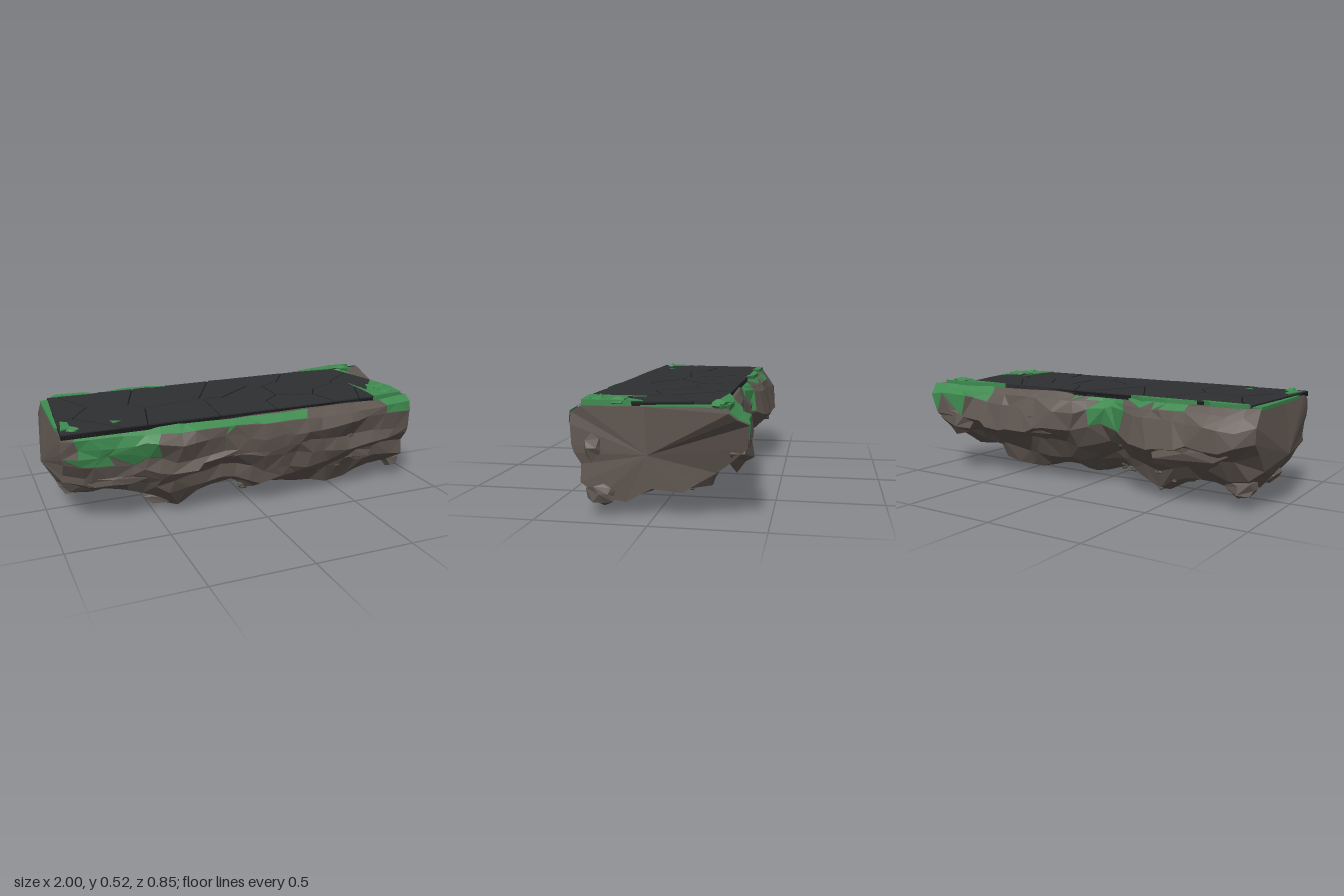
import * as THREE from 'three';

const TOP = 0.478;
const material = (color) => new THREE.MeshStandardMaterial({ color, flatShading: true, roughness: 1, side: THREE.DoubleSide });

// Small seeded random, -1..1
function seeded(seed) {
  let s = seed;
  return () => {
    s = (s * 1664525 + 1013904223) % 4294967296;
    return (s / 4294967296) * 2 - 1;
  };
}

// Stations along the rock: x, back z, front z, lowest y
const STATIONS = [
  [-0.95, -0.34, 0.33, 0.13], [-0.9, -0.39, 0.34, 0.075], [-0.8, -0.4, 0.345, 0.05], [-0.65, -0.41, 0.35, 0.09],
  [-0.52, -0.405, 0.37, 0.07], [-0.42, -0.395, 0.385, 0], [-0.32, -0.37, 0.39, 0.04], [-0.2, -0.29, 0.4, 0.1],
  [-0.08, -0.285, 0.41, 0.1], [0.03, -0.335, 0.42, 0.015], [0.12, -0.35, 0.425, 0.05], [0.28, -0.365, 0.42, 0.03],
  [0.45, -0.37, 0.41, 0.01], [0.6, -0.38, 0.395, 0.03], [0.75, -0.42, 0.38, 0.07], [0.88, -0.42, 0.365, 0.05],
];
// Cross-section, front lip -> underside -> back lip -> top: share of half depth, share of height
const SECTION = [
  [0.86, -0.01], [0.97, 0.06], [1, 0.19], [0.95, 0.36], [0.96, 0.47], [0.88, 0.62], [0.83, 0.76], [0.66, 0.92], [0.35, 1],
  [0, 0.96], [-0.28, 0.97], [-0.5, 0.9], [-0.62, 0.76], [-0.8, 0.58], [-1, 0.43], [-0.95, 0.18], [-0.88, 0.07], [-0.8, -0.01],
  [0.12, 0],
];

function stationAt(x) {
  let i = 0;
  while (i < STATIONS.length - 2 && STATIONS[i + 1][0] < x) i++;
  const a = STATIONS[i], b = STATIONS[i + 1];
  const t = (x - a[0]) / (b[0] - a[0]);
  return a.map((v, k) => v + (b[k] - v) * t);
}

// Rings of points with long ripples and a little jitter, shared by rock and moss
function rockRings() {
  const rnd = seeded(17), rings = [], count = 24;
  for (let i = 0; i <= count; i++) {
    const x = -0.95 + (1.83 * i) / count;
    const [, back, front, low] = stationAt(x);
    const slide = i > 0 && i < count ? 0.03 : 0.006;
    const end = THREE.MathUtils.smoothstep(x, 0.68, 0.88);
    const rightLift = 0.16 * THREE.MathUtils.smoothstep(x, 0.5, 0.7);
    const leftLift = 0.17 * (1 - THREE.MathUtils.smoothstep(x, -0.8, -0.5));
    rings.push(SECTION.map(([u, v], j) => {
      const rough = v < 0.1 ? 0.25 : 1;
      const lift = 1 - (u < 0.1 ? rightLift : 0) - (u > -0.1 ? leftLift : 0);
      const z = u * (u > 0 ? front : -back) + (Math.sin(x * 7 + j * 2.4) * 0.01 + rnd() * 0.008) * rough;
      const y = TOP - (TOP - low) * v * lift + (Math.sin(x * 6 + j * 1.9) * 0.014 + rnd() * 0.009) * rough;
      const flare = Math.max(0, 1 - Math.abs(z + 0.31) / 0.33) * Math.max(0, (y - 0.2) / 0.28) * 0.15
        + Math.max(0, z) * 0.09 - 0.015;
      return new THREE.Vector3(
        Math.min(0.995, x + rnd() * slide + end * flare), Math.max(0, y), THREE.MathUtils.clamp(z, -0.43, 0.43));
    }));
  }
  return rings;
}

// Triangles between rings, for section points from..to
function bandTriangles(rings, from, to) {
  const tris = [];
  for (let j = from; j < to; j++) {
    const k = (j + 1) % SECTION.length;
    for (let i = 0; i < rings.length - 1; i++) {
      const a = rings[i][j], b = rings[i + 1][j], c = rings[i + 1][k], d = rings[i][k];
      if ((i + j) % 3) tris.push([a, d, b], [b, d, c]);
      else tris.push([a, d, c], [a, c, b]);
    }
  }
  return tris;
}

// Fans closing the two ends
function endTriangles(rings) {
  const left = new THREE.Vector3(-1, 0.25, -0.04), right = new THREE.Vector3(0.865, 0.27, 0.03);
  const first = rings[0], last = rings[rings.length - 1];
  return SECTION.flatMap((_, j) => {
    const k = (j + 1) % SECTION.length;
    return [[left, first[k], first[j]], [right, last[j], last[k]]];
  });
}

function meshFrom(name, tris, mat) {
  const geometry = new THREE.BufferGeometry().setFromPoints(tris.flat());
  geometry.computeVertexNormals();
  const mesh = new THREE.Mesh(geometry, mat);
  mesh.name = name;
  return mesh;
}

// Where moss hangs over the rim
function isMossy({ x, y, z }) {
  if (z > 0.2) {
    if (x < -0.5) return x > -0.9 && y > 0.33;
    if (x < 0.25) return y > 0.44;
    return x > 0.72 && y > 0.39;
  }
  if (z > -0.2) return false;
  if (x > 0.55) return y > 0.39;
  if (x > -0.28 && x < -0.05) return y > 0.33;
  return x > -0.6 && x < 0.05 && y > 0.46;
}

// Flat plate from [x, z] corners, between two heights
function plate(corners, low, high, mat, name) {
  const shape = new THREE.Shape(corners.map(([x, z]) => new THREE.Vector2(x, -z)));
  const geometry = new THREE.ExtrudeGeometry(shape, { depth: high - low, bevelEnabled: false });
  geometry.rotateX(-Math.PI / 2).translate(0, low, 0);
  const mesh = new THREE.Mesh(geometry, mat);
  mesh.name = name;
  return mesh;
}

// Keep the side of a polygon nearer to p than to q, less half a crack
function clipToward(poly, p, q, gap) {
  const dx = q[0] - p[0], dz = q[1] - p[1], len = Math.hypot(dx, dz);
  const dist = (c) => ((c[0] - p[0]) * dx + (c[1] - p[1]) * dz) / len - len / 2 + gap;
  const out = [];
  poly.forEach((a, i) => {
    const b = poly[(i + 1) % poly.length], da = dist(a), db = dist(b);
    if (da <= 0) out.push(a);
    if (da * db < 0) {
      const t = da / (da - db);
      out.push([a[0] + (b[0] - a[0]) * t, a[1] + (b[1] - a[1]) * t]);
    }
  });
  return out;
}

// Irregular low-poly stone
function stone(name, x, y, z, sx, sy, sz, seed, mat) {
  const geometry = new THREE.DodecahedronGeometry(1, 0);
  const p = geometry.attributes.position, v = new THREE.Vector3();
  for (let i = 0; i < p.count; i++) {
    v.fromBufferAttribute(p, i);
    const k = 1 + 0.2 * Math.sin(seed * 3.1 + v.x * 5 + v.y * 7.3 + v.z * 9.1);
    p.setXYZ(i, v.x * k * sx, v.y * k * sy, v.z * k * sz);
  }
  geometry.computeVertexNormals();
  const mesh = new THREE.Mesh(geometry, mat);
  mesh.position.set(x, y, z);
  mesh.rotation.y = Math.sin(seed) * 0.15;
  mesh.name = name;
  return mesh;
}

export function createModel() {
  const model = new THREE.Group();
  model.name = 'floatingPlatform';
  const rock = material(0x5f5650), moss = material(0x3f8a50), slab = material(0x2d2f31), crack = material(0x18191a);

  // Rock body
  const rings = rockRings(), n = SECTION.length;
  const sides = bandTriangles(rings, 0, n - 2);
  model.add(meshFrom('rockBody', [...sides, ...bandTriangles(rings, n - 2, n), ...endTriangles(rings)], rock));

  // Moss draped just outside the rock
  const mossTris = sides
    .filter((t) => isMossy(t[0].clone().add(t[1]).add(t[2]).divideScalar(3)))
    .map((t) => t.map((p) => new THREE.Vector3(p.x, p.y + 0.005, p.z * 1.012)));
  model.add(meshFrom('mossDrape', mossTris, moss));

  // Cracked paving on a dark bed
  const outline = [[-0.91, -0.28], [0.77, -0.28], [0.85, 0.05], [0.85, 0.16], [0.68, 0.335], [-0.95, 0.335]];
  model.add(plate(outline, 0.474, 0.495, crack, 'pavingBed'));
  const seeds = [
    [-0.93, -0.04], [-0.64, -0.17], [-0.68, 0.12], [-0.88, 0.29], [-0.38, -0.08], [-0.33, 0.2], [-0.17, -0.2],
    [-0.02, 0.22], [0, -0.11], [0.11, 0.04], [0.22, -0.22], [0.33, 0.04], [0.27, 0.24], [0.47, -0.05],
    [0.56, 0.17], [0.62, -0.17], [0.77, 0.02], [0.74, 0.25],
  ];
  const paving = new THREE.Group();
  paving.name = 'paving';
  seeds.forEach((p, i) => {
    const cell = seeds.reduce((poly, q) => (q === p ? poly : clipToward(poly, p, q, 0.0035)), outline);
    paving.add(plate(cell, 0.474, 0.5 + (i % 3) * 0.001, slab, 'pavingStone'));
  });
  model.add(paving);

  // Moss creeping over the paving's edges: top height, corners
  const patches = [
    [0.486, [[0.75, -0.3], [0.85, -0.3], [0.85, -0.1], [0.86, 0.06], [0.84, 0.06], [0.79, -0.13]]],
    [0.505, [[0.69, 0.07], [0.71, 0.22], [0.84, 0.05], [0.87, 0.2], [0.86, 0.32], [0.68, 0.34], [0.69, 0.25]]],
    [0.492, [[-0.95, -0.27], [-0.9, -0.28], [-0.93, 0], [-0.935, 0.2], [-0.955, 0.2]]],
    [0.505, [[-0.92, 0.15], [-0.89, 0.17], [-0.89, 0.26], [-0.94, 0.28]]],
    [0.503, [[-0.7, 0.22], [-0.65, 0.24], [-0.69, 0.26]]],
    [0.503, [[0.52, -0.28], [0.63, -0.31], [0.8, -0.335], [0.92, -0.33], [0.85, -0.31], [0.9, -0.29], [0.78, -0.26]]],
    [0.5, [[-0.64, -0.28], [-0.5, -0.32], [-0.36, -0.31], [-0.26, -0.27]]],
    [0.503, [[-0.9, -0.28], [-0.86, -0.32], [-0.72, -0.31], [-0.66, -0.27]]],
  ];
  patches.forEach(([high, corners]) => model.add(plate(corners, 0.476, high, moss, 'mossPatch')));
  [[0.8, 0.17, 0.07], [0.79, 0.26, 0.06], [0.82, -0.28, 0.07], [-0.88, 0.28, 0.04]].forEach(([x, z, r], i) =>
    model.add(stone('mossMound', x, 0.495, z, r, 0.022, r * 0.7, i + 2, moss)));

  // Boulders at the lower corners and rear bulges: x, y, z, size x, y, z
  const boulders = [
    [0.88, 0.1, 0.22, 0.035, 0.055, 0.07], [0.88, 0.3, 0.27, 0.025, 0.06, 0.05], [-0.87, 0.14, 0, 0.06, 0.05, 0.12],
    [-0.85, 0.1, -0.2, 0.08, 0.05, 0.065], [-0.42, 0.06, 0.15, 0.1, 0.045, 0.08], [0.4, 0.06, 0.08, 0.17, 0.04, 0.1],
    [-0.62, 0.3, -0.33, 0.24, 0.11, 0.07], [0.78, 0.3, -0.345, 0.12, 0.09, 0.07], [0.3, 0.32, -0.3, 0.2, 0.09, 0.06],
    [-0.72, 0.23, 0.28, 0.17, 0.045, 0.055], [0.56, 0.21, 0.31, 0.16, 0.05, 0.05],
  ];
  boulders.forEach((b, i) => model.add(stone('boulder', ...b, i + 1, rock)));

  // Chips stuck to the sides and the underside
  const rnd = seeded(5);
  for (let i = 0; i < 20; i++) {
    const ring = rings[2 + Math.floor((rnd() * 0.5 + 0.5) * 20)];
    const p = ring[3 + Math.floor((rnd() * 0.5 + 0.5) * 11)], r = 0.016 + 0.008 * rnd();
    model.add(stone('rockChip', p.x, Math.max(p.y, 0.03), p.z * 0.97, r * 1.5, r * 0.9, r, i, rock));
  }
  return model;
}
